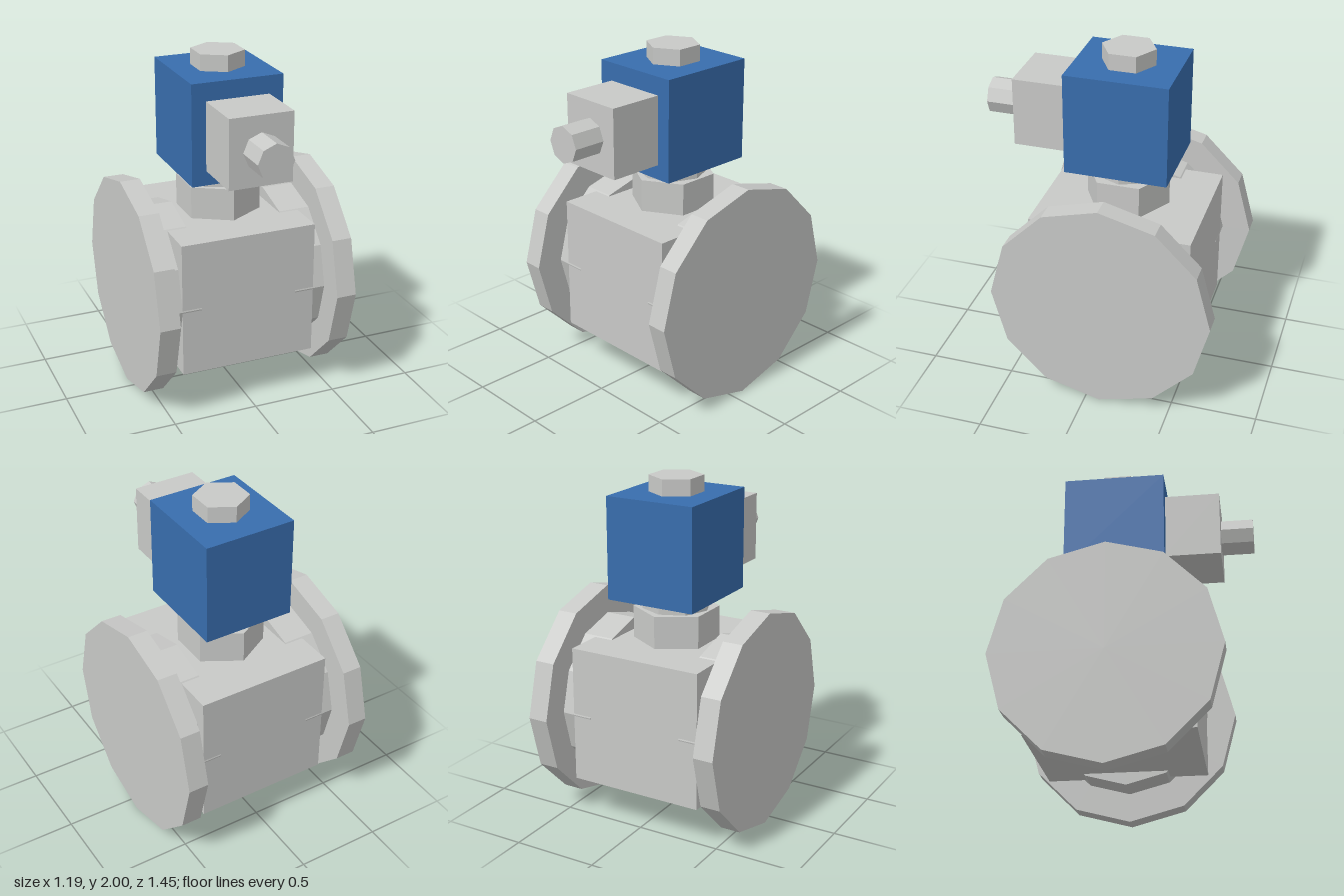
import * as THREE from 'three';

export function createModel() {
  const model = new THREE.Group();
  model.name = 'solenoidValve';

  const grey = new THREE.MeshStandardMaterial({ color: 0xc8c9c7, flatShading: true });
  grey.name = 'cast metal grey';
  const blue = new THREE.MeshStandardMaterial({ color: 0x386dad, flatShading: true });
  blue.name = 'coil blue';

  const axisZ = -0.084; // depth of the pipe and stem axes
  const pipeY = 0.645;  // height of the pipe axis

  function add(name, geometry, material, x, y, z) {
    const mesh = new THREE.Mesh(geometry, material);
    mesh.name = name;
    mesh.position.set(x, y, z);
    model.add(mesh);
    return mesh;
  }

  // Box given by its limits on each axis
  function box(name, material, [x0, x1], [y0, y1], [z0, z1]) {
    return add(name, new THREE.BoxGeometry(x1 - x0, y1 - y0, z1 - z0), material,
      (x0 + x1) / 2, (y0 + y1) / 2, (z0 + z1) / 2);
  }

  // Upright prism on the stem axis, with a corner facing the front
  function stemPrism(name, radius, sides, y0, y1) {
    return add(name, new THREE.CylinderGeometry(radius, radius, y1 - y0, sides), grey,
      0, (y0 + y1) / 2, axisZ);
  }

  // Twelve-sided prism along the pipe axis
  function pipePrism(name, radius, x0, x1) {
    const geometry = new THREE.CylinderGeometry(radius, radius, x1 - x0, 12);
    geometry.rotateZ(Math.PI / 2);
    return add(name, geometry, grey, (x0 + x1) / 2, pipeY, axisZ);
  }

  // Valve body
  box('valveBody', grey, [-0.405, 0.405], [0.245, 1.05], [axisZ - 0.473, axisZ + 0.473]);

  // Pipe stubs and end flanges
  pipePrism('leftPipe', 0.475, 0.29, 0.49);
  pipePrism('rightPipe', 0.475, -0.49, -0.29);
  pipePrism('leftFlange', 0.643, 0.478, 0.597);
  pipePrism('rightFlange', 0.643, -0.597, -0.478);

  // Stem between body and coil
  stemPrism('bonnetHex', 0.247, 6, 1.04, 1.24);
  stemPrism('stemNeck', 0.2, 8, 1.23, 1.32);

  // Coil housing and top nut
  box('coilHousing', blue, [-0.272, 0.272], [1.312, 1.905], [-0.38, 0.212]);
  stemPrism('topNut', 0.155, 6, 1.895, 2);

  // Electrical connector and its cable gland
  box('connector', grey, [-0.188, 0.188], [1.398, 1.8], [0.2, 0.535]);
  const gland = new THREE.CylinderGeometry(0.106, 0.106, 0.2, 8);
  gland.rotateX(Math.PI / 2);
  add('cableGland', gland, grey, 0, 1.598, 0.626);

  return model;
}
